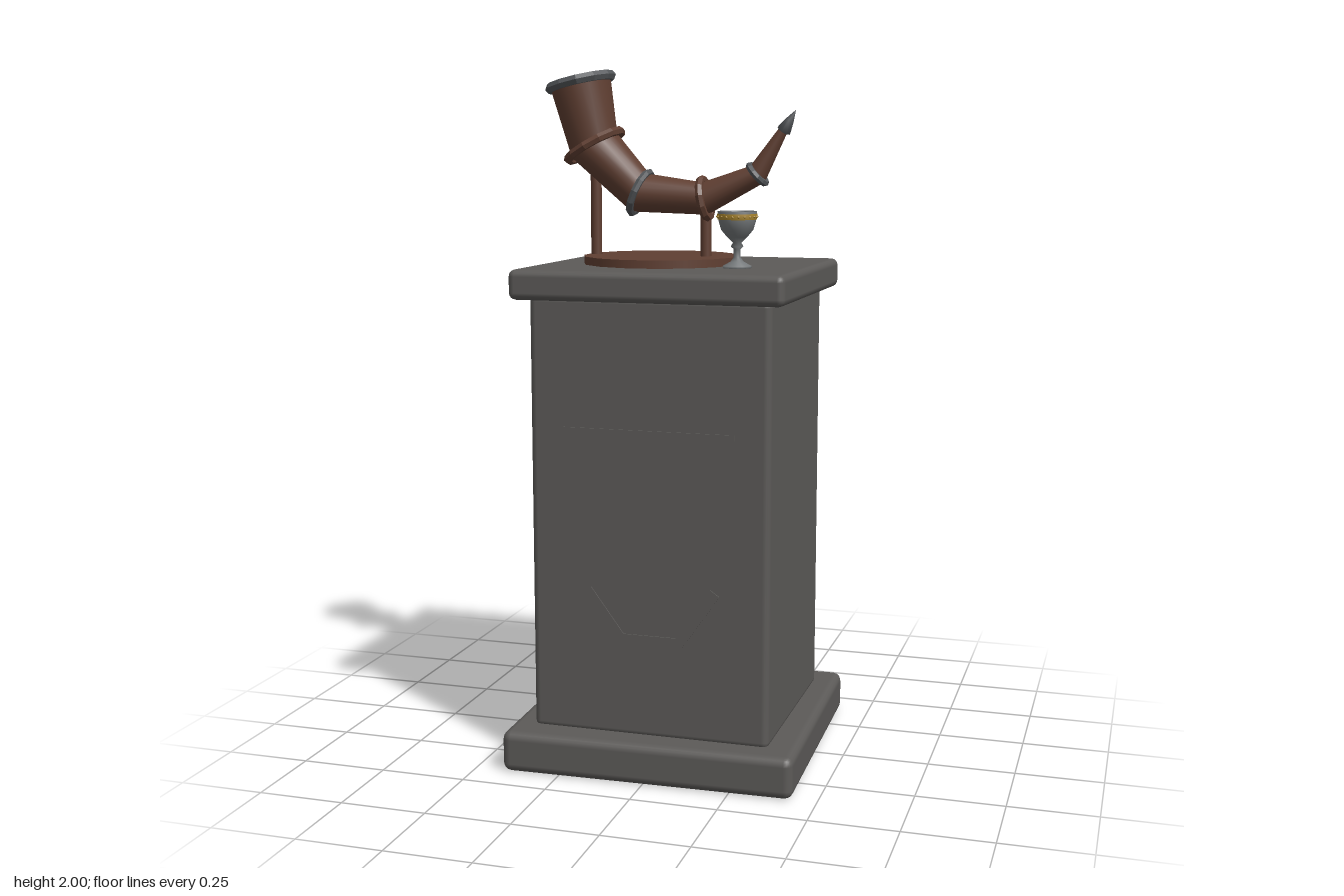
import * as THREE from 'three';
import { RoundedBoxGeometry } from 'three/addons/geometries/RoundedBoxGeometry.js';

const mat = (name, color, extra = {}) =>
  Object.assign(new THREE.MeshStandardMaterial({ color, ...extra }), { name });

export function createModel() {
  const model = new THREE.Group();
  const stone = mat('stone', 0x5c5a58);
  const wood = mat('wood', 0x603f32);
  const iron = mat('iron', 0x54575a);
  const pewter = mat('pewter', 0x74787a, { side: THREE.DoubleSide });
  const gold = mat('gold', 0xa8842c);

  const add = (name, geometry, material, x = 0, y = 0, z = 0, parent = model) => {
    const mesh = new THREE.Mesh(geometry, material);
    mesh.name = name;
    mesh.position.set(x, y, z);
    parent.add(mesh);
    return mesh;
  };

  // Pedestal: slightly turned plinth, shaft and top slab
  const block = (name, w, y0, y1, d, r) =>
    add(name, new RoundedBoxGeometry(w, y1 - y0, d, 2, r), stone, -0.003, (y0 + y1) / 2, 0);
  block('plinth', 0.85, 0, 0.12, 0.805, 0.025).rotation.y = 0.026;
  block('shaft', 0.698, 0.11, 1.37, 0.635, 0.02);
  block('topSlab', 0.788, 1.357, 1.442, 0.728, 0.02);

  // Relief on the front: a straight bar and a bent horn outline
  const relief = (name, points, width) => {
    const side = s => points.map((p, i) => {
      const a = points[Math.max(i - 1, 0)], b = points[Math.min(i + 1, points.length - 1)];
      const n = new THREE.Vector2(a[1] - b[1], b[0] - a[0]).normalize().multiplyScalar(s * width / 2);
      return new THREE.Vector2(p[0] + n.x, p[1] + n.y);
    });
    const shape = new THREE.Shape([...side(-1), ...side(1).reverse()]);
    add(name, new THREE.ExtrudeGeometry(shape, { depth: 0.006, bevelEnabled: false }), stone, 0, 0, 0.315);
  };
  relief('reliefBar', [[-0.25, 0.993], [0.245, 0.993]], 0.016);
  relief('reliefHorn', [[-0.185, 0.535], [-0.083, 0.4], [0.088, 0.4], [0.192, 0.552]], 0.032);

  // Wooden stand
  add('standDisc', new THREE.CylinderGeometry(0.228, 0.228, 0.025, 16), wood, -0.06, 1.4525, 0)
    .rotation.y = Math.PI / 16;
  for (const [x, top] of [[-0.261, 1.7], [0.073, 1.595]])
    add('standPost', new THREE.CylinderGeometry(0.016, 0.016, top - 1.46, 10), wood, x, (top + 1.46) / 2, 0);

  // Horn path: x, y and radius at every joint
  const horn = new THREE.Group();
  horn.name = 'horn';
  model.add(horn);
  const joints = [
    [-0.307, 1.962, 0.089], [-0.265, 1.78, 0.075], [-0.125, 1.645, 0.06],
    [0.07, 1.63, 0.047], [0.225, 1.7, 0.031], [0.3, 1.825, 0.013],
  ].map(([x, y, r]) => ({ p: new THREE.Vector3(x, y, 0), r }));
  joints.forEach((j, i) => {
    const before = joints[Math.max(i - 1, 0)].p, after = joints[Math.min(i + 1, 5)].p;
    const a = j.p.clone().sub(before).normalize(), b = after.clone().sub(j.p).normalize();
    j.t = a.add(b).normalize();
  });

  // Joins round cross-sections into a skin
  const loft = (sections, n = 20) => {
    const pos = [], index = [];
    sections.forEach(({ p, t, r }, i) => {
      for (let k = 0; k < n; k++) {
        const a = k / n * Math.PI * 2, u = r * Math.cos(a);
        pos.push(p.x - t.y * u, p.y + t.x * u, r * Math.sin(a));
        if (i === 0) continue;
        const k2 = (k + 1) % n, lo = (i - 1) * n, hi = i * n;
        index.push(lo + k, lo + k2, hi + k, lo + k2, hi + k2, hi + k);
      }
    });
    const g = new THREE.BufferGeometry();
    g.setAttribute('position', new THREE.Float32BufferAttribute(pos, 3));
    g.setIndex(index);
    g.computeVertexNormals();
    return g;
  };
  for (let i = 0; i < 5; i++)
    add('hornSegment', loft([joints[i], joints[i + 1]]), wood, 0, 0, 0, horn);

  // Hollow mouth, wound inwards
  const [mouth, neck] = joints;
  add('hornInside', loft([
    { ...neck, r: 0 }, { ...neck, r: 0.06 }, { ...mouth, r: 0.08 },
  ]), wood, 0, 0, 0, horn);

  // Bands round the joints
  const zAxis = new THREE.Vector3(0, 0, 1);
  const band = (name, j, radius, tube, material) => {
    const g = new THREE.TorusGeometry(radius, tube, 6, 12).toNonIndexed();
    g.computeVertexNormals();
    add(name, g, material, j.p.x, j.p.y, 0, horn).quaternion.setFromUnitVectors(zAxis, j.t);
  };
  band('mouthRim', joints[0], 0.091, 0.015, iron);
  band('neckBand', joints[1], 0.088, 0.013, wood);
  band('bendBand', joints[2], 0.064, 0.011, iron);
  band('restBand', joints[3], 0.056, 0.012, wood);
  band('tailBand', joints[4], 0.034, 0.01, iron);

  // Pointed tip
  const profile = points => points.map(([r, y]) => new THREE.Vector2(r, y));
  const end = joints[5];
  add('hornTip', new THREE.LatheGeometry(profile([[0, -0.012], [0.021, 0], [0.012, 0.035], [0, 0.068]]), 8),
    iron, end.p.x, end.p.y - 0.004, 0, horn)
    .quaternion.setFromUnitVectors(new THREE.Vector3(0, 1, 0), end.t);

  // Goblet with a gilded band
  const goblet = new THREE.Group();
  goblet.name = 'goblet';
  goblet.position.set(0.198, 1.44, 0.12);
  model.add(goblet);
  add('gobletBody', new THREE.LatheGeometry(profile([
    [0, 0], [0.04, 0], [0.04, 0.008], [0.018, 0.02], [0.01, 0.032], [0.01, 0.055], [0.018, 0.062],
    [0.012, 0.072], [0.028, 0.088], [0.045, 0.108], [0.052, 0.132], [0.055, 0.16],
    [0.048, 0.16], [0.044, 0.125], [0.03, 0.102], [0, 0.092],
  ]), 20), pewter, 0, 0, 0, goblet);
  add('gobletBand', new THREE.CylinderGeometry(0.0565, 0.055, 0.014, 20, 1), gold, 0, 0.145, 0, goblet)
    .geometry = new THREE.LatheGeometry(profile([
      [0.052, -0.008], [0.055, -0.008], [0.0565, 0.008], [0.053, 0.008]]), 20);
  for (let i = 0; i < 20; i++) {
    const a = i / 20 * Math.PI * 2;
    add('gobletBead', new THREE.OctahedronGeometry(0.005), gold,
      0.055 * Math.cos(a), 0.145, 0.055 * Math.sin(a), goblet);
  }
  return model;
}
